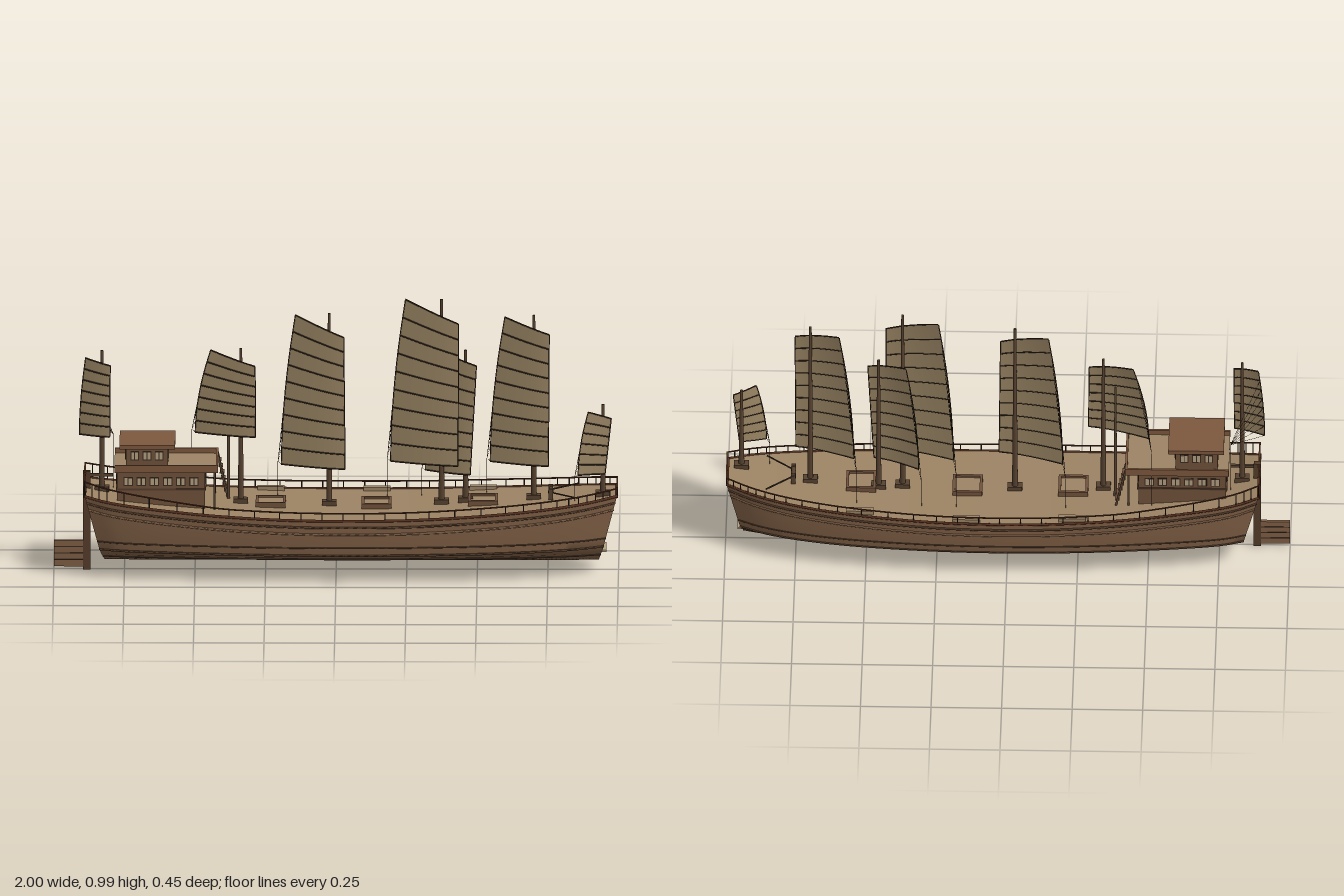
import * as THREE from 'three';
import { toCreasedNormals } from 'three/addons/utils/BufferGeometryUtils.js';

const mat = (name, color, side = THREE.FrontSide) => {
  const m = new THREE.MeshStandardMaterial({ color, side });
  m.name = name;
  return m;
};
const V = (x, y, z) => new THREE.Vector3(x, y, z);
const lerp = THREE.MathUtils.lerp;

export function createModel() {
  const M = {
    hull: mat('hull wood', 0x7f5f45), wale: mat('dark plank', 0x553d2b),
    deck: mat('deck wood', 0x9c8364), sail: mat('sail cloth', 0xa18b69, THREE.DoubleSide),
    spar: mat('mast wood', 0x574230), batten: mat('batten', 0x382a1e),
    rail: mat('red rail', 0x56301f), house: mat('cabin wood', 0x71523b),
    roof: mat('roof wood', 0x7d583e), light: mat('pale window', 0xb5a182),
  };
  const root = new THREE.Group();
  const add = (name, geo, m, parent = root) => {
    const mesh = new THREE.Mesh(geo, m);
    mesh.name = name;
    parent.add(mesh);
    return mesh;
  };
  const group = (name) => {
    const g = new THREE.Group();
    g.name = name;
    root.add(g);
    return g;
  };
  // box given by its limits on each axis
  const box = (name, m, x0, x1, y0, y1, z0, z1, parent) => {
    const b = add(name, new THREE.BoxGeometry(x1 - x0, y1 - y0, z1 - z0), m, parent);
    b.position.set((x0 + x1) / 2, (y0 + y1) / 2, (z0 + z1) / 2);
    return b;
  };
  // round bar between two points
  const bar = (name, m, a, b, r0, r1 = r0, parent = root, sides = 6) => {
    const c = add(name, new THREE.CylinderGeometry(r1, r0, a.distanceTo(b), sides), m, parent);
    c.position.copy(a).lerp(b, 0.5);
    c.quaternion.setFromUnitVectors(V(0, 1, 0), b.clone().sub(a).normalize());
    return c;
  };
  const tube = (name, m, pts, r, parent = root, seg = 60) =>
    add(name, new THREE.TubeGeometry(new THREE.CatmullRomCurve3(pts), seg, r, 5), m, parent);

  // sheer line: x, height of the deck edge, half width
  const sheer = new THREE.CatmullRomCurve3([
    V(-0.89, 0.3, 0.13), V(-0.8, 0.283, 0.157), V(-0.5, 0.253, 0.195), V(-0.2, 0.238, 0.216),
    V(0.05, 0.235, 0.221), V(0.3, 0.238, 0.213), V(0.6, 0.252, 0.186), V(0.8, 0.267, 0.15),
    V(0.91, 0.279, 0.117), V(0.995, 0.29, 0.078)]);
  const N = 60;
  const line = Array.from({ length: N + 1 }, (_, i) => sheer.getPoint(i / N));
  const deckY = (x) => line.reduce((a, b) => (Math.abs(b.x - x) < Math.abs(a.x - x) ? b : a)).y;
  // point on the hull side with raked ends
  const hullPoint = (p, y, f, side) => {
    const k = (p.y - y) / (p.y - 0.037);
    const raked = lerp(-0.82, 0.93, (p.x + 0.89) / 1.885);
    return V(lerp(p.x, raked, k), y, p.z * f * side);
  };

  // hull shell from cross-sections
  const rows = [[0.2, 1], [0.14, 0.99], [0.11, 0.97], [0.083, 0.75], [0.056, 0.36], [0.037, 0.06]];
  const rings = line.map((p) => {
    const half = [[p.y, 1], ...rows];
    return [...half.map(([y, f]) => hullPoint(p, y, f, 1)),
      ...half.reverse().map(([y, f]) => hullPoint(p, y, f, -1))];
  });
  const R = rings[0].length;
  const surface = (name, idx, m, crease) => {
    const g = new THREE.BufferGeometry();
    g.setAttribute('position', new THREE.Float32BufferAttribute(rings.flat().flatMap((v) => v.toArray()), 3));
    g.setIndex(idx);
    add(name, toCreasedNormals(g, crease), m);
  };
  const shell = [], deck = [];
  for (let i = 0; i < N; i++) {
    for (let j = 0; j < R - 1; j++) {
      const a = i * R + j, b = a + R;
      shell.push(a, a + 1, b, b, a + 1, b + 1);
    }
    const a = i * R, b = a + R;
    deck.push(a, b, a + R - 1, a + R - 1, b, b + R - 1);
  }
  for (let j = 1; j < R - 1; j++) shell.push(N * R, N * R + j, N * R + j + 1, 0, j + 1, j);
  surface('hull', shell, M.hull, 0.7);
  surface('deck', deck, M.deck, 0.5);

  // wales, deck edge and rails on both sides
  for (const s of [1, -1]) {
    tube('upperWale', M.wale, line.map((p) => hullPoint(p, p.y - 0.025, 1, s)), 0.004);
    tube('middleWale', M.hull, line.map((p) => hullPoint(p, p.y - 0.05, 1, s)), 0.004);
    tube('lowerWale', M.wale, line.map((p) => hullPoint(p, 0.135, 0.985, s)), 0.003);
    tube('chineWale', M.wale, line.map((p) => hullPoint(p, 0.105, 0.95, s)), 0.004);
    tube('bottomWale', M.wale, line.map((p) => hullPoint(p, 0.066, 0.52, s)), 0.003);
    tube('deckEdge', M.rail, line.map((p) => V(p.x, p.y, p.z * s)), 0.005);
    const top = (p) => V(p.x, p.y + 0.028 + 0.025 * Math.max(0, -p.x - 0.4) / 0.49, p.z * s);
    tube('railing', M.rail, line.map(top), 0.003);
    line.forEach((p, i) => {
      if (i % 2 === 0) bar('railPost', M.batten, V(p.x, p.y, p.z * s), top(p), 0.0022);
    });
  }
  box('sternRail', M.rail, -0.893, -0.887, 0.35, 0.356, -0.13, 0.13);
  box('sternEdge', M.rail, -0.895, -0.885, 0.294, 0.304, -0.13, 0.13);
  box('bowEdge', M.rail, 0.988, 0.998, 0.284, 0.294, -0.078, 0.078);
  box('bowRail', M.rail, 0.992, 0.998, 0.315, 0.321, -0.078, 0.078);
  box('bowBeam', M.light, 0.93, 0.957, 0.079, 0.086, -0.056, 0.056);

  // rudder
  box('rudderPost', M.wale, -0.897, -0.871, 0, 0.36, -0.01, 0.01);
  box('rudderBlade', M.hull, -1, -0.895, 0.01, 0.105, -0.006, 0.006);
  for (const y of [0.033, 0.057, 0.081]) box('rudderSeam', M.batten, -1, -0.895, y, y + 0.003, -0.0075, 0.0075);
  box('tiller', M.spar, -0.88, -0.79, 0.34, 0.35, -0.005, 0.005);

  // sail with mast, battens and sheets; xs = [low aft, peak, throat, low fore], ys = [foot, peak, throat]
  const makeSail = (name, mastX, mastTop, xs, ys, n, z0 = 0, swing = 0.068, sheet = -0.12, sheetX = xs[0] - 0.012) => {
    const g = group(name);
    const at = (u, v, off = 0) => {
      const x = lerp(lerp(xs[0], xs[1], v ** 1.8), lerp(xs[3], xs[2], v), u);
      return V(x, lerp(ys[0], lerp(ys[1], ys[2], u), v), z0 + off + 0.026 - swing * (1 - u) ** 1.4);
    };
    const geo = new THREE.PlaneGeometry(1, 1, 8, 12);
    const pos = geo.attributes.position;
    for (let i = 0; i < pos.count; i++) {
      const p = at(pos.getX(i) + 0.5, pos.getY(i) + 0.5);
      pos.setXYZ(i, p.x, p.y, p.z);
    }
    geo.computeVertexNormals();
    add('sailCloth', geo, M.sail, g);
    const steps = [0, 0.25, 0.5, 0.75, 1];
    for (const u of [0, 1]) tube('sailEdge', M.batten, steps.map((v) => at(u, v)), 0.0018, g, 10);
    const block = V(sheetX, ys[0] - 0.01, sheet);
    for (let k = 0; k <= n; k++) {
      tube('batten', M.batten, steps.map((u) => at(u, k / n, 0.001)), 0.0026, g, 8);
      if (k < n) bar('sheetLine', M.batten, at(0, k / n), block, 0.0007, 0.0007, g, 3);
    }
    bar('sheetTail', M.batten, block, V(block.x, deckY(block.x), sheet), 0.001, 0.001, g, 3);
    const y = deckY(mastX);
    bar('mast', M.spar, V(mastX, y - 0.005, z0 - 0.004), V(mastX, mastTop, z0 - 0.004), 0.011, 0.005, g, 10);
    box('mastBlock', M.spar, mastX - 0.026, mastX + 0.026, y - 0.005, y + 0.016, z0 - 0.02, z0 + 0.012, g);
  };
  makeSail('sternSail', -0.83, 0.8, [-0.91, -0.888, -0.8, -0.802], [0.49, 0.77, 0.752], 7, 0, 0.04, -0.06, -0.79);
  makeSail('aftSail', -0.338, 0.808, [-0.5, -0.445, -0.287, -0.285], [0.49, 0.792, 0.75], 7);
  makeSail('middleSail', -0.025, 0.937, [-0.195, -0.145, 0.027, 0.032], [0.373, 0.921, 0.857], 9);
  makeSail('mainSail', 0.373, 0.99, [0.192, 0.245, 0.433, 0.432], [0.385, 0.979, 0.907], 9);
  makeSail('smallSail', 0.458, 0.8, [0.315, 0.36, 0.497, 0.475], [0.35, 0.79, 0.75], 8, -0.012);
  makeSail('foreSail', 0.7, 0.932, [0.545, 0.597, 0.755, 0.752], [0.385, 0.915, 0.868], 9);
  makeSail('bowSail', 0.945, 0.617, [0.857, 0.893, 0.975, 0.953], [0.37, 0.602, 0.573], 6, 0.045, -0.02, 0.075);
  bar('spareMast', M.spar, V(-0.382, 0.24, -0.05), V(-0.382, 0.72, -0.05), 0.007, 0.004);

  // deck hatches and low lockers at the side
  for (const [x, z] of [[-0.232, -0.193], [0.143, -0.2], [0.52, -0.174]]) {
    const y = deckY(x), g = group('hatch');
    box('hatchCover', M.deck, x - 0.045, x + 0.045, y - 0.01, y + 0.01, -0.045, 0.045, g);
    for (const s of [1, -1]) {
      box('hatchSide', M.house, x - 0.052, x + 0.052, y - 0.01, y + 0.018, s * 0.048 - 0.005, s * 0.048 + 0.005, g);
      box('hatchEnd', M.house, x + s * 0.048 - 0.005, x + s * 0.048 + 0.005, y - 0.01, y + 0.018, -0.052, 0.052, g);
    }
    box('sideLocker', M.deck, x - 0.048, x + 0.048, y - 0.01, y + 0.013, z - 0.013, z + 0.013);
  }

  // windlass and its ropes
  const wy = deckY(0.76) + 0.025;
  bar('windlass', M.spar, V(0.76, wy, -0.035), V(0.76, wy, 0.035), 0.009, 0.009, root, 8);
  for (const s of [1, -1]) {
    box('windlassPost', M.spar, 0.752, 0.768, wy - 0.035, wy + 0.015, s * 0.03 - 0.004, s * 0.03 + 0.004);
    bar('anchorRope', M.batten, V(0.76, wy, s * 0.02), V(0.855, wy, s * 0.1), 0.003);
  }

  // deckhouse
  const house = group('deckhouse');
  const windows = (x0, x1, y0, y1, zw, n) => {
    for (let i = 0; i < n; i++) {
      const w = (x1 - x0) / n, x = x0 + w * (i + 0.5);
      for (const s of [1, -1]) {
        box('windowFrame', M.batten, x - w * 0.36, x + w * 0.36, y0 - 0.004, y1 + 0.004, s * zw - 0.002, s * zw + 0.002, house);
        for (const k of [-1, 1]) {
          const c = x + k * w * 0.16;
          box('windowPane', M.light, c - w * 0.12, c + w * 0.12, y0, y1, s * zw - 0.003, s * zw + 0.003, house);
        }
      }
    }
  };
  const endWindows = (x, y0, y1, zs) => zs.forEach((z) => {
    box('windowFrame', M.batten, x - 0.002, x + 0.002, y0 - 0.004, y1 + 0.004, z - 0.022, z + 0.022, house);
    for (const k of [-0.01, 0.01]) box('windowPane', M.light, x - 0.003, x + 0.003, y0, y1, z + k - 0.007, z + k + 0.007, house);
  });
  box('lowerCabin', M.house, -0.775, -0.465, 0.24, 0.385, -0.108, 0.108, house);
  box('cabinSill', M.wale, -0.78, -0.46, 0.318, 0.324, -0.112, 0.112, house);
  windows(-0.76, -0.48, 0.337, 0.362, 0.108, 6);
  endWindows(-0.465, 0.337, 0.362, [-0.06, 0, 0.06]);
  endWindows(-0.775, 0.337, 0.362, [-0.06, 0, 0.06]);
  box('balconyFloor', M.deck, -0.785, -0.42, 0.385, 0.393, -0.12, 0.12, house);
  for (const s of [1, -1]) {
    box('balconySide', M.roof, -0.785, -0.42, 0.385, 0.412, s * 0.118 - 0.004, s * 0.118 + 0.004, house);
    bar('balconyPost', M.spar, V(-0.43, 0.245, s * 0.112), V(-0.43, 0.39, s * 0.112), 0.004, 0.004, house);
  }
  box('balconyFront', M.roof, -0.426, -0.418, 0.385, 0.412, -0.12, 0.12, house);
  box('upperCabin', M.house, -0.745, -0.595, 0.39, 0.467, -0.088, 0.088, house);
  windows(-0.735, -0.605, 0.425, 0.452, 0.088, 3);
  endWindows(-0.595, 0.425, 0.452, [-0.05, 0, 0.05]);
  endWindows(-0.745, 0.425, 0.452, [-0.05, 0, 0.05]);
  box('upperRoof', M.roof, -0.767, -0.57, 0.465, 0.48, -0.1, 0.1, house);

  // ladder up to the balcony
  for (const z of [-0.11, -0.07]) bar('ladderSide', M.spar, V(-0.385, 0.245, z), V(-0.42, 0.4, z), 0.004, 0.004, house);
  for (let i = 1; i < 7; i++) {
    const x = lerp(-0.385, -0.42, i / 7), y = lerp(0.245, 0.4, i / 7);
    box('ladderStep', M.house, x - 0.008, x + 0.008, y - 0.002, y + 0.002, -0.11, -0.07, house);
  }
  return root;
}
